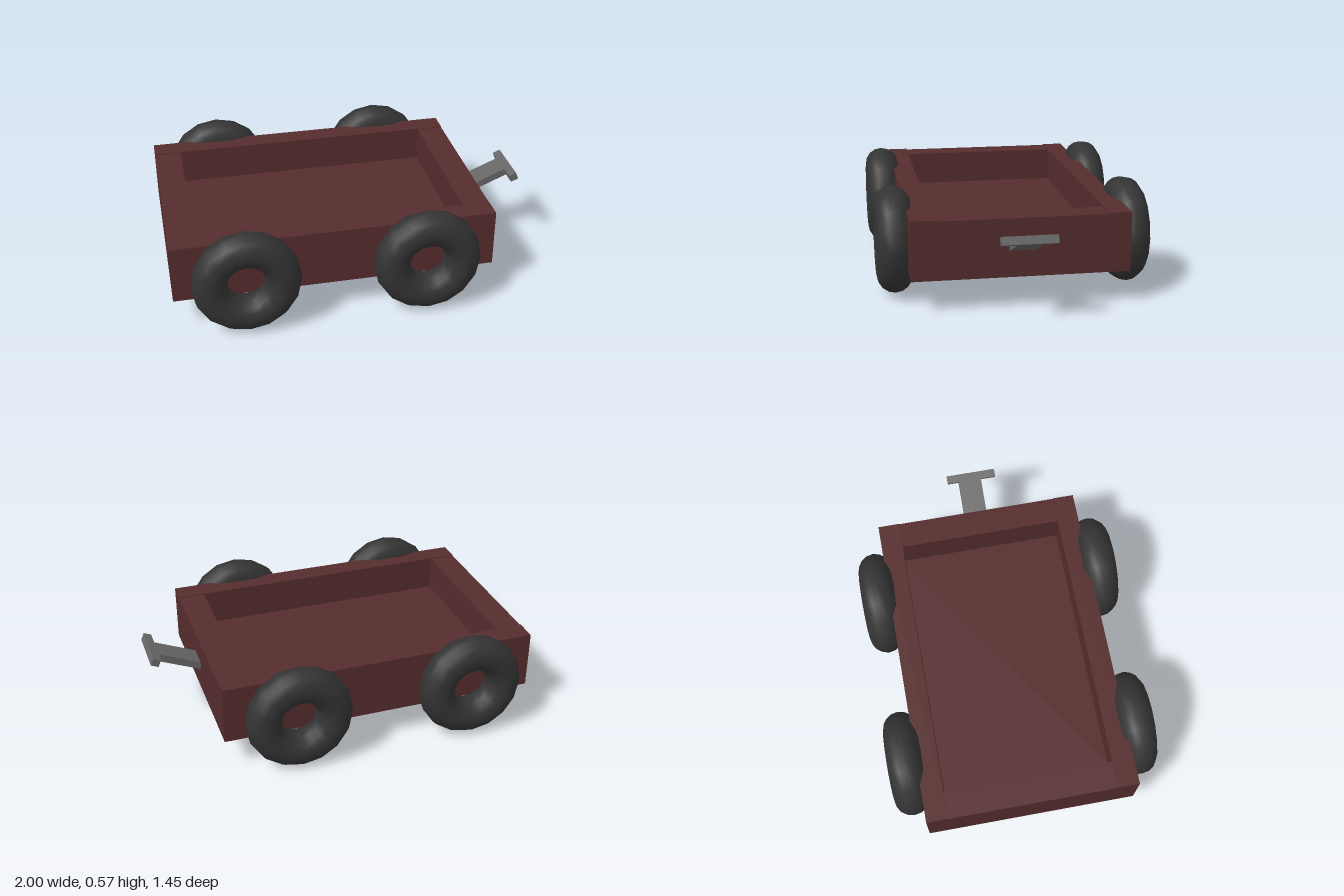
import * as THREE from 'three';

const red = new THREE.MeshStandardMaterial({ color: 0x552c2d });
const rubber = new THREE.MeshStandardMaterial({ color: 0x333333 });
const metal = new THREE.MeshStandardMaterial({ color: 0x666666 });

// Box given by its minimum and maximum corners
function box(name, [x0, y0, z0], [x1, y1, z1], material) {
  const mesh = new THREE.Mesh(new THREE.BoxGeometry(x1 - x0, y1 - y0, z1 - z0), material);
  mesh.position.set((x0 + x1) / 2, (y0 + y1) / 2, (z0 + z1) / 2);
  mesh.name = name;
  return mesh;
}

export function createModel() {
  const wagon = new THREE.Group();
  wagon.name = 'wagon';

  // Open tray: floor, two long sides, two slightly lower ends
  const tray = new THREE.Group();
  tray.name = 'tray';
  tray.add(
    box('floor', [-0.99, 0.175, -0.56], [0.71, 0.295, 0.56], red),
    box('leftEndBoard', [0.575, 0.175, -0.45], [0.72, 0.485, 0.45], red),
    box('rightEndBoard', [-1, 0.175, -0.45], [-0.855, 0.485, 0.45], red),
    box('frontSideBoard', [-1, 0.175, 0.45], [0.72, 0.49, 0.567], red),
    box('backSideBoard', [-1, 0.175, -0.567], [0.72, 0.49, -0.45], red)
  );
  wagon.add(tray);

  // Four plump ring tyres
  const tyre = new THREE.TorusGeometry(0.192, 0.095, 16, 16);
  for (const x of [-0.622, 0.336]) {
    for (const z of [-0.628, 0.628]) {
      const wheel = new THREE.Mesh(tyre, rubber);
      wheel.name = 'wheel';
      wheel.position.set(x, 0.292, z);
      wagon.add(wheel);
    }
  }

  // Tilted pull handle with a crossbar grip
  const handle = new THREE.Group();
  handle.name = 'handle';
  handle.position.set(0.72, 0.337, 0);
  handle.rotation.z = 0.4;
  handle.add(
    box('handleShaft', [-0.06, -0.02, -0.065], [0.26, 0.02, 0.067], metal),
    box('handleGrip', [0.25, -0.021, -0.128], [0.294, 0.021, 0.152], metal)
  );
  wagon.add(handle);

  return wagon;
}
